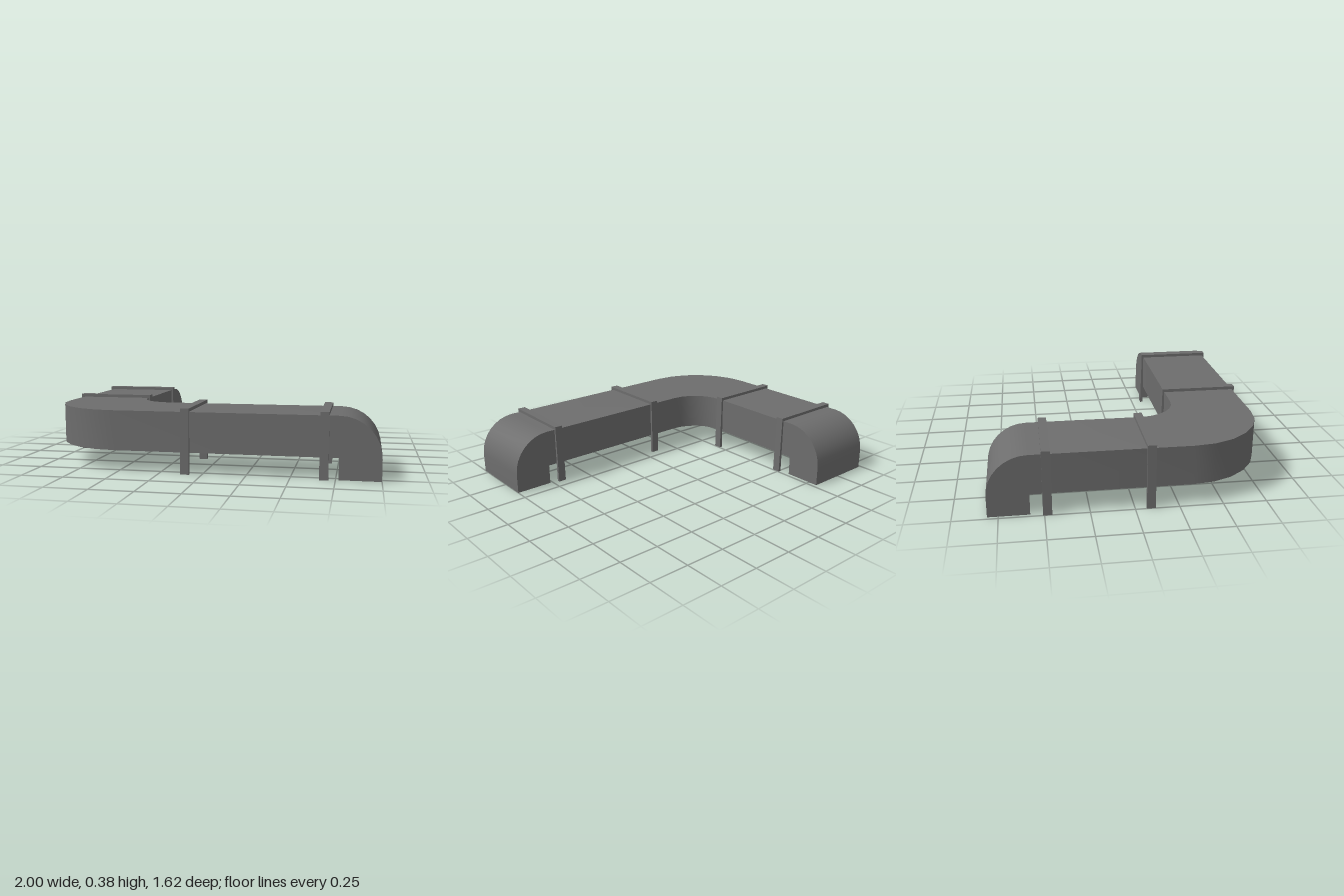
import * as THREE from 'three';
import { toCreasedNormals } from 'three/addons/utils/BufferGeometryUtils.js';

const LOW = 0.123, HIGH = 0.356, R = HIGH - LOW;
const IN_X = -0.527, OUT_X = -0.98; // sides of the back arm
const IN_Z = 0.335, OUT_Z = 0.789; // sides of the side arm
const BACK = -0.577, SIDE = 0.767; // where the elbows begin

// Four-cornered sections, swept from the back end round the bend to the side end
function ductSections() {
  const sections = [];
  // each arm's section from a low point and a high point given as [along, y]
  const backArm = (lo, hi) => sections.push([
    [IN_X, lo[1], lo[0]], [IN_X, hi[1], hi[0]], [OUT_X, hi[1], hi[0]], [OUT_X, lo[1], lo[0]]]);
  const sideArm = (lo, hi) => sections.push([
    [lo[0], lo[1], IN_Z], [hi[0], hi[1], IN_Z], [hi[0], hi[1], OUT_Z], [lo[0], lo[1], OUT_Z]]);
  const steps = 8;

  // back elbow, turning up from the floor
  backArm([BACK, 0], [BACK - R, 0]);
  for (let i = 0; i <= steps; i++) {
    const a = (i / steps) * Math.PI / 2;
    backArm([BACK, LOW], [BACK - R * Math.cos(a), LOW + R * Math.sin(a)]);
  }
  // flat bend, with separate centres for the inner and outer curves
  const rIn = 0.23, rOut = 0.46;
  for (let i = 0; i <= 6; i++) {
    const a = (i / 6) * Math.PI / 2, c = 1 - Math.cos(a), s = 1 - Math.sin(a);
    const ix = IN_X + rIn * c, iz = IN_Z - rIn * s;
    const ox = OUT_X + rOut * c, oz = OUT_Z - rOut * s;
    sections.push([[ix, LOW, iz], [ix, HIGH, iz], [ox, HIGH, oz], [ox, LOW, oz]]);
  }
  // side elbow, turning down to the floor
  for (let i = steps; i >= 0; i--) {
    const a = (i / steps) * Math.PI / 2;
    sideArm([SIDE, LOW], [SIDE + R * Math.cos(a), LOW + R * Math.sin(a)]);
  }
  sideArm([SIDE, 0], [SIDE + R, 0]);
  return sections;
}

// Joins neighbouring sections into an open-ended tube
function loft(sections) {
  const pos = [];
  const same = (p, q) => p.every((v, i) => Math.abs(v - q[i]) < 1e-6);
  const tri = (a, b, c) => {
    if (!same(a, b) && !same(b, c) && !same(a, c)) pos.push(...a, ...b, ...c);
  };
  for (let s = 0; s < sections.length - 1; s++) {
    const A = sections[s], B = sections[s + 1];
    for (let i = 0; i < 4; i++) {
      const j = (i + 1) % 4;
      tri(A[i], A[j], B[j]);
      tri(A[i], B[j], B[i]);
    }
  }
  const geo = new THREE.BufferGeometry();
  geo.setAttribute('position', new THREE.Float32BufferAttribute(pos, 3));
  return toCreasedNormals(geo, Math.PI / 6);
}

// Bracket over the duct with slightly splayed legs
function strapGeometry() {
  const shape = new THREE.Shape([
    [-0.248, 0], [-0.229, 0], [-0.229, 0.358], [0.229, 0.358],
    [0.229, 0], [0.248, 0], [0.241, 0.377], [-0.241, 0.377],
  ].map(([x, y]) => new THREE.Vector2(x, y)));
  const geo = new THREE.ExtrudeGeometry(shape, { depth: 0.05, bevelEnabled: false });
  geo.translate(0, 0, -0.025);
  return geo;
}

export function createModel() {
  const group = new THREE.Group();
  group.name = 'ventDuct';
  const color = 0x6d6d6d; // dark grey metal

  // hollow thin-walled duct, open at both floor ends
  const duct = new THREE.Mesh(
    loft(ductSections()),
    new THREE.MeshStandardMaterial({ color, side: THREE.DoubleSide }));
  duct.name = 'duct';
  group.add(duct);

  // support straps: two on each arm
  const strapGeo = strapGeometry();
  const strapMat = new THREE.MeshStandardMaterial({ color });
  const addStrap = (name, x, z, turn) => {
    const strap = new THREE.Mesh(strapGeo, strapMat);
    strap.name = name;
    strap.position.set(x, 0, z);
    strap.rotation.y = turn;
    group.add(strap);
  };
  [-0.483, 0.089].forEach((z, i) => addStrap(`backArmStrap${i + 1}`, -0.752, z, 0));
  [-0.097, 0.687].forEach((x, i) => addStrap(`sideArmStrap${i + 1}`, x, 0.562, Math.PI / 2));

  return group;
}
